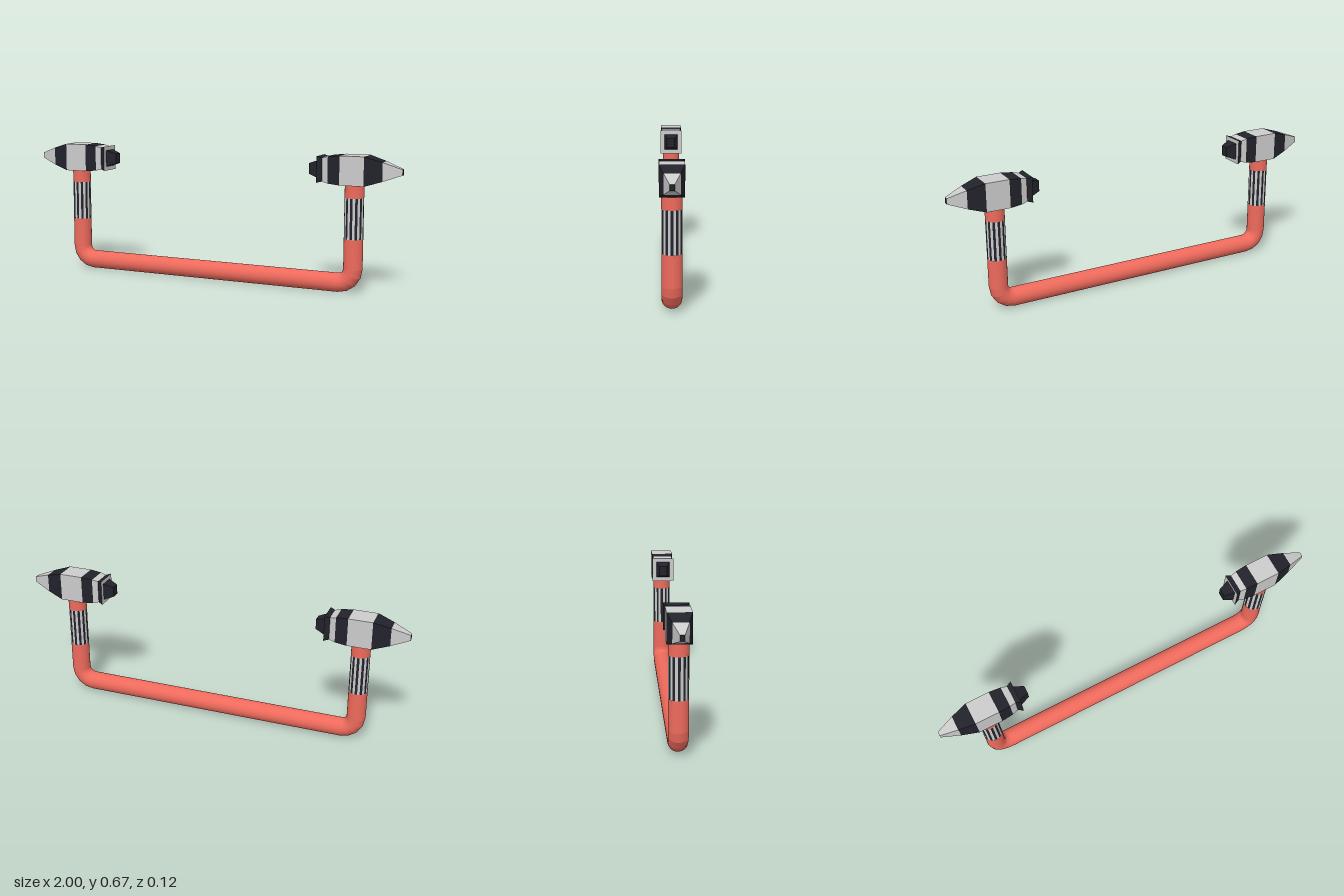
import * as THREE from 'three';

const R = 0.047, LEG_X = 0.765, BEND = 0.073, HEAD_Y = 0.603;

const red = new THREE.MeshStandardMaterial({ color: 0xee6a5c });
const redFlat = new THREE.MeshStandardMaterial({ color: 0xee6a5c, flatShading: true });
const grey = new THREE.MeshStandardMaterial({ color: 0xcccccc, flatShading: true });
const dark = new THREE.MeshStandardMaterial({ color: 0x22222b, flatShading: true });

function add(parent, name, geometry, material, x = 0, y = 0, z = 0) {
  const mesh = new THREE.Mesh(geometry, material);
  mesh.name = name;
  mesh.position.set(x, y, z);
  parent.add(mesh);
  return mesh;
}

// Rectangular band between two sections [x, halfHeight, halfDepth], running towards -x
function bandGeometry(a, b) {
  const corners = ([x, h, d]) => [[x, h, d], [x, -h, d], [x, -h, -d], [x, h, -d]];
  const p = corners(a), q = corners(b), positions = [];
  for (let i = 0; i < 4; i++) {
    const j = (i + 1) % 4;
    for (const v of [p[i], q[i], q[j], p[i], q[j], p[j]]) positions.push(...v);
  }
  const g = new THREE.BufferGeometry();
  g.setAttribute('position', new THREE.Float32BufferAttribute(positions, 3));
  g.computeVertexNormals();
  return g;
}

// Hammer head: banded sections from the outer point to the inner nose
function createHead() {
  const head = new THREE.Group();
  head.name = 'hammerHead';
  const sections = [
    [1.0, 0.014, 0.011],
    [0.91, 0.046, 0.037],
    [0.825, 0.071, 0.057],
    [0.705, 0.071, 0.057],
    [0.645, 0.065, 0.053],
    [0.615, 0.058, 0.047],
    [0.59, 0.064, 0.059],
    [0.59, 0.043, 0.037],
    [0.54, 0.026, 0.021],
  ];
  const bands = [
    ['point', grey], ['pointBand', dark], ['middle', grey], ['neckBand', dark],
    ['neck', grey], ['flange', dark], ['flangeFace', grey], ['nose', dark],
  ];
  bands.forEach(([name, material], i) =>
    add(head, name, bandGeometry(sections[i], sections[i + 1]), material));

  // End caps
  for (const [name, [x, h, d], turn] of [
    ['pointCap', sections[0], 1], ['noseCap', sections[8], -1],
  ]) {
    const cap = add(head, name, new THREE.PlaneGeometry(2 * d, 2 * h), dark, x);
    cap.rotation.y = turn * Math.PI / 2;
  }
  head.position.y = HEAD_Y;
  return head;
}

// Grip: alternating strips around the leg
function createGrip(y0, y1, pairs) {
  const grip = new THREE.Group();
  grip.name = 'stripedGrip';
  const step = Math.PI / pairs;
  for (let i = 0; i < pairs * 2; i++) {
    const g = new THREE.CylinderGeometry(R, R, y1 - y0, 1, 1, true, (i - 0.5) * step, step);
    add(grip, 'gripStrip', g, i % 2 ? grey : dark, LEG_X, (y0 + y1) / 2);
  }
  return grip;
}

function createSide() {
  const side = new THREE.Group();
  side.name = 'side';
  const leg = (name, y0, y1) => add(side, name,
    new THREE.CylinderGeometry(R, R, y1 - y0, 32, 1, true), red, LEG_X, (y0 + y1) / 2);
  leg('lowerLeg', R + BEND, 0.27);
  side.add(createGrip(0.27, 0.47, 12));
  leg('upperLeg', 0.47, 0.54);

  // Faceted bend from the crossbar into the leg
  const bend = add(side, 'bend', new THREE.TorusGeometry(BEND, R, 32, 4, Math.PI / 2),
    redFlat, LEG_X - BEND, R + BEND);
  bend.rotation.z = -Math.PI / 2;

  side.add(createHead());
  return side;
}

export function createModel() {
  const model = new THREE.Group();
  model.name = 'doubleHammerBar';

  const bar = add(model, 'crossbar',
    new THREE.CylinderGeometry(R, R, 2 * (LEG_X - BEND), 32, 1, true), red, 0, R);
  bar.rotation.z = Math.PI / 2;

  const left = createSide();
  left.name = 'leftSide';
  const right = createSide();
  right.name = 'rightSide';
  right.rotation.y = Math.PI;
  model.add(left, right);
  return model;
}
